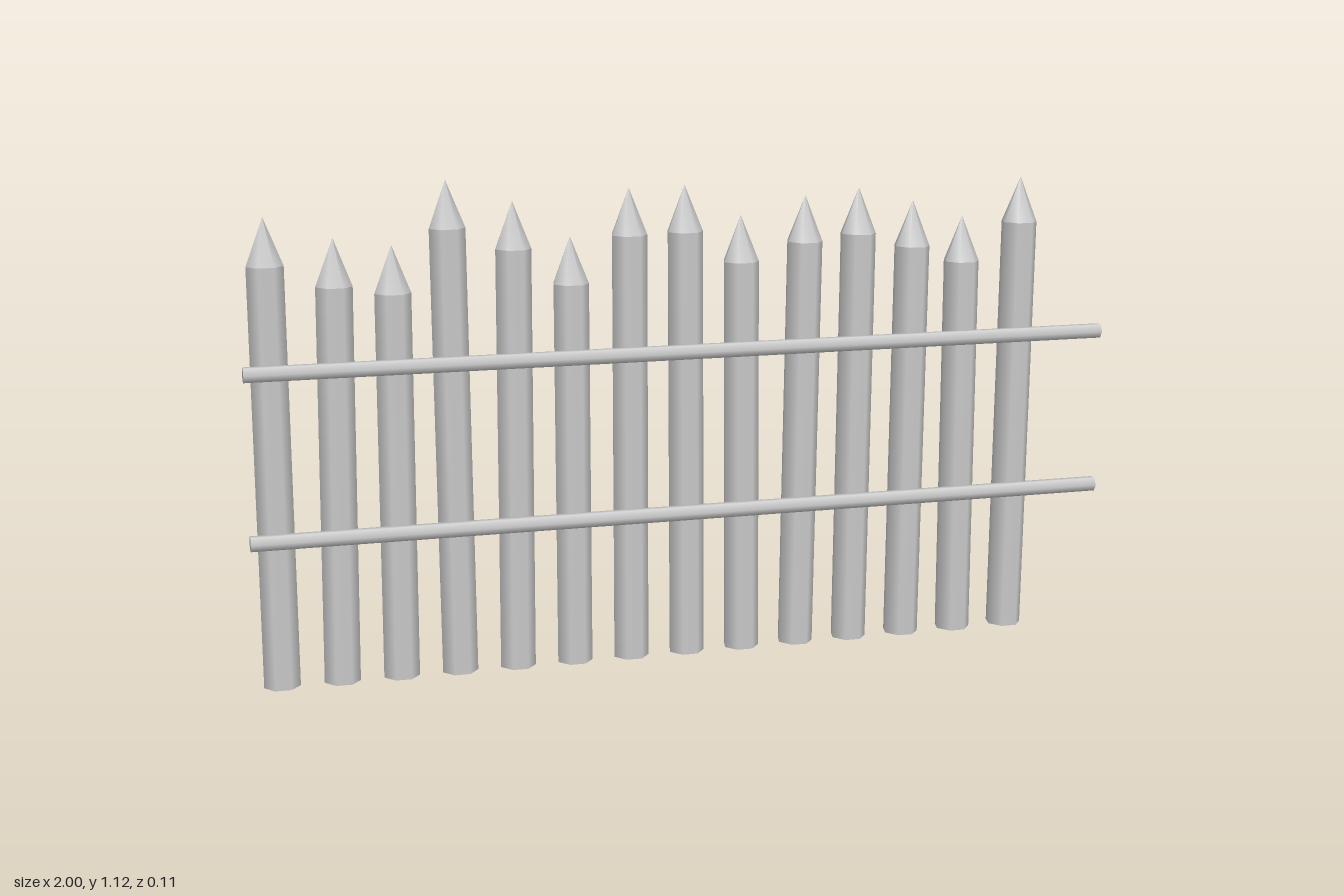
import * as THREE from 'three';

const material = new THREE.MeshStandardMaterial({ color: 0xcccccc });
const RADIUS = 0.0415, SIDES = 7, POINT = 0.105;

// tip position [x, y] of each stake, left to right
const TIPS = [
  [-0.941, 1.05], [-0.794, 1.0], [-0.668, 0.98], [-0.547, 1.118], [-0.4, 1.067],
  [-0.271, 0.984], [-0.136, 1.088], [-0.007, 1.091], [0.125, 1.018], [0.279, 1.058],
  [0.408, 1.072], [0.541, 1.038], [0.664, 0.998], [0.809, 1.085],
];

// round stake with a sharpened point, leaning from its foot to its tip
function makeStake(footX, [tipX, tipY]) {
  const stake = new THREE.Group();
  stake.name = 'stake';
  const h = tipY - POINT;
  const shaft = new THREE.Mesh(
    new THREE.CylinderGeometry(RADIUS, RADIUS, h, SIDES, 1, false, Math.PI), material);
  shaft.name = 'stakeShaft';
  shaft.position.y = h / 2;
  const point = new THREE.Mesh(
    new THREE.ConeGeometry(RADIUS, POINT, SIDES, 1, false, Math.PI), material);
  point.name = 'stakePoint';
  point.position.y = h + POINT / 2;
  stake.add(shaft, point);
  stake.position.set(footX, 0, -0.012);
  stake.rotation.z = -Math.atan2(tipX - footX, tipY);
  return stake;
}

export function createModel() {
  const fence = new THREE.Group();
  fence.name = 'fence';

  // evenly spaced stakes
  TIPS.forEach((tip, i) => fence.add(makeStake(-0.94 + 0.1337 * i, tip)));

  // two hexagonal rails across the front
  for (const [name, y] of [['lowerRail', 0.345], ['upperRail', 0.719]]) {
    const rail = new THREE.Mesh(new THREE.CylinderGeometry(0.018, 0.018, 2, 6), material);
    rail.name = name;
    rail.rotation.z = Math.PI / 2;
    rail.position.set(0, y, 0.038);
    fence.add(rail);
  }
  return fence;
}
